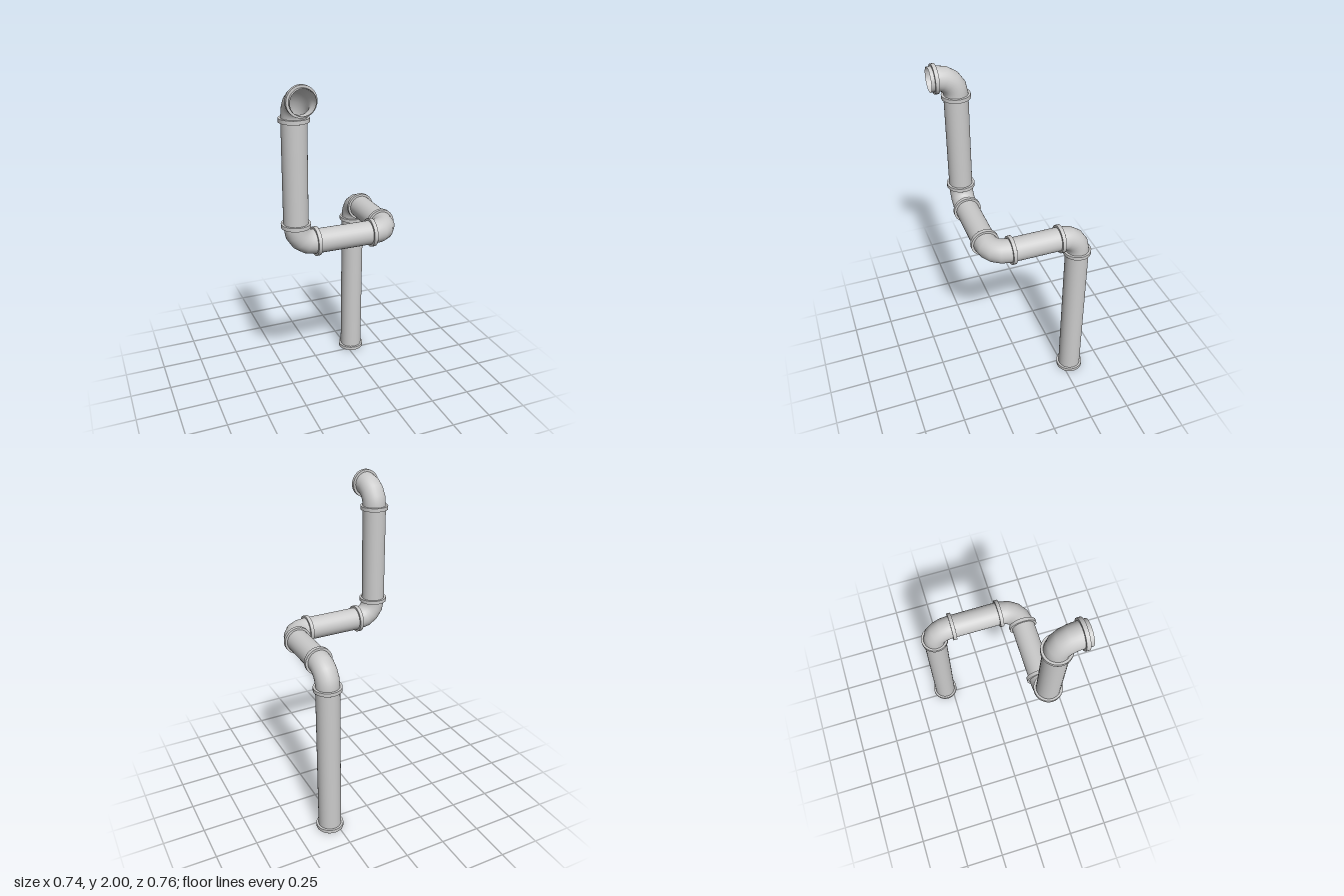
import * as THREE from 'three';

const PIPE_R = 0.07, FLANGE_R = 0.0835, FLANGE_W = 0.022, BEND_R = 0.106, SIDES = 32;
const UP = new THREE.Vector3(0, 1, 0);
const material = new THREE.MeshStandardMaterial({ color: 0xcccccc, side: THREE.DoubleSide });

// Corner points of the pipe run, from the floor end to the open outlet
const route = [
  [0.287, 0, -0.3],
  [0.287, 1.095, -0.3],
  [0.287, 1.095, 0.23],
  [-0.287, 1.095, 0.23],
  [-0.287, 1.917, 0.23],
  [-0.287, 1.917, 0.38],
].map((p) => new THREE.Vector3(...p));

function add(group, name, geometry) {
  const mesh = new THREE.Mesh(geometry, material);
  mesh.name = name;
  group.add(mesh);
  return mesh;
}

// Open straight pipe between two points
function addPipe(group, a, b) {
  const dir = b.clone().sub(a);
  const pipe = add(group, 'straightPipe',
    new THREE.CylinderGeometry(PIPE_R, PIPE_R, dir.length(), SIDES, 1, true));
  pipe.position.copy(a).add(b).multiplyScalar(0.5);
  pipe.quaternion.setFromUnitVectors(UP, dir.normalize());
}

// Collar starting at a point and reaching FLANGE_W along dir; doubled points keep its rims sharp
function addFlange(group, start, dir) {
  const e = 0.0001;
  const profile = [
    [PIPE_R, 0], [FLANGE_R - e, 0], [FLANGE_R, 0], [FLANGE_R, e],
    [FLANGE_R, FLANGE_W - e], [FLANGE_R, FLANGE_W], [FLANGE_R - e, FLANGE_W], [PIPE_R, FLANGE_W],
  ].map(([r, y]) => new THREE.Vector2(r, y));
  const flange = add(group, 'flange', new THREE.LatheGeometry(profile, SIDES));
  flange.position.copy(start);
  flange.quaternion.setFromUnitVectors(UP, dir);
}

// Quarter-torus elbow turning from direction dIn to dOut around a corner
function addElbow(group, corner, dIn, dOut) {
  const u = dOut.clone().negate();
  const elbow = add(group, 'elbow', new THREE.TorusGeometry(BEND_R, PIPE_R, SIDES, 4, Math.PI / 2));
  elbow.quaternion.setFromRotationMatrix(
    new THREE.Matrix4().makeBasis(u, dIn, u.clone().cross(dIn)));
  elbow.position.copy(corner).addScaledVector(dIn, -BEND_R).addScaledVector(dOut, BEND_R);
}

export function createModel() {
  const group = new THREE.Group();
  group.name = 'bentPipe';
  const last = route.length - 2;

  for (let i = 0; i <= last; i++) {
    const dir = route[i + 1].clone().sub(route[i]).normalize();
    const a = route[i].clone().addScaledVector(dir, i > 0 ? BEND_R : 0);
    const b = route[i + 1].clone().addScaledVector(dir, i < last ? -BEND_R : 0);
    addPipe(group, a, b);
    addFlange(group, a, dir);
    if (i < last) {
      addFlange(group, b.clone().addScaledVector(dir, -FLANGE_W), dir);
      const next = route[i + 2].clone().sub(route[i + 1]).normalize();
      addElbow(group, route[i + 1], dir, next);
    }
  }
  return group;
}
